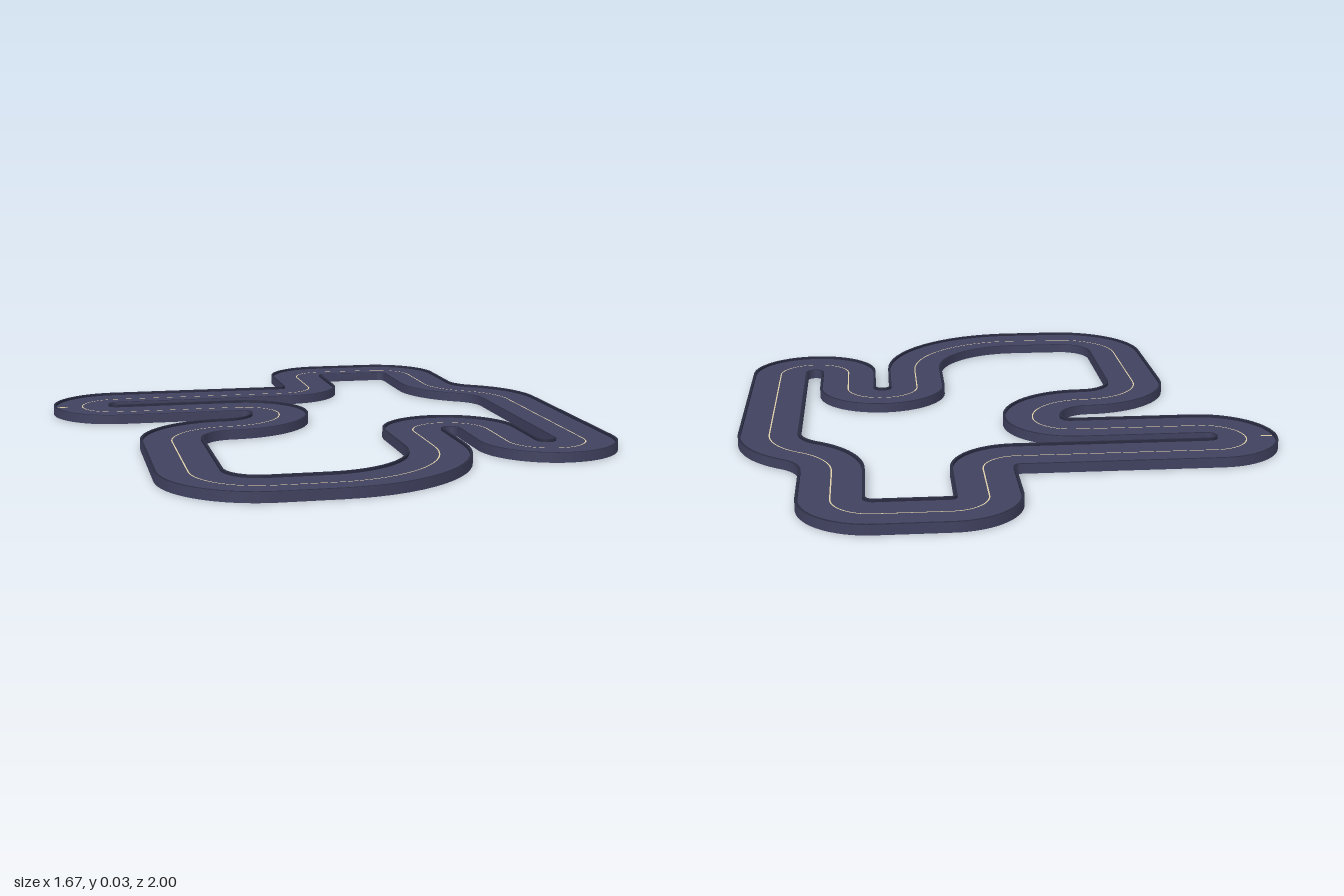
import * as THREE from 'three';
import { mergeGeometries } from 'three/addons/utils/BufferGeometryUtils.js';

const HALF = 0.0965;   // half width of the track
const TOP = 0.03;      // top of the edge walls
const ROAD = 0.022;    // road surface
const WALL = 0.008;    // wall thickness

// Corners of the circuit: x, z, bend radius
const CORNERS = [
  [0.097, -0.902, 0.11], [0.537, -0.902, 0.12],
  [0.537, -0.44, 0.215], [0.738, -0.31, 0.215],
  [0.738, 0.617, 0.12], [0.497, 0.617, 0.12],
  [0.497, 0.177, 0.119], [0.258, 0.177, 0.119],
  [0.258, 0.9, 0.385], [-0.503, 0.9, 0.2],
  [-0.503, 0.095, 0.2], [-0.103, 0.095, 0.195],
  [-0.103, -0.225, 0.12], [-0.742, -0.225, 0.12],
  [-0.742, -0.465, 0.12], [0.097, -0.465, 0.11],
];

// Centreline samples with heading: straights joined by true arcs
function centreline() {
  const pts = [], n = CORNERS.length, steps = 16;
  CORNERS.forEach(([x, z, r], i) => {
    const [px, pz] = CORNERS[(i + n - 1) % n];
    const [qx, qz] = CORNERS[(i + 1) % n];
    const h = Math.atan2(z - pz, x - px);
    const turn0 = Math.atan2(qz - z, qx - x) - h;
    const turn = Math.atan2(Math.sin(turn0), Math.cos(turn0));
    const d = r * Math.tan(Math.abs(turn) / 2), k = r * Math.sign(turn);
    const sx = x - d * Math.cos(h), sz = z - d * Math.sin(h);
    for (let j = 0; j <= steps; j++) {
      const a = h + (turn * j) / steps;
      pts.push({
        x: sx + k * (Math.sin(a) - Math.sin(h)),
        z: sz - k * (Math.cos(a) - Math.cos(h)),
        h: a,
      });
    }
  });
  return pts;
}

// Closed ribbon between two section points [offset, y]; smooth along the track
function ribbon(path, a, b) {
  const pos = [], idx = [], n = path.length;
  path.forEach((p, i) => {
    for (const [s, y] of [a, b]) pos.push(p.x - s * Math.sin(p.h), y, p.z + s * Math.cos(p.h));
    const c = 2 * i, e = 2 * ((i + 1) % n);
    idx.push(c, c + 1, e, c + 1, e + 1, e);
  });
  const g = new THREE.BufferGeometry();
  g.setAttribute('position', new THREE.Float32BufferAttribute(pos, 3));
  g.setIndex(idx);
  g.computeVertexNormals();
  return g;
}

// Sweep a section polyline, keeping its edges sharp
function sweep(path, section) {
  return mergeGeometries(section.slice(1).map((b, i) => ribbon(path, section[i], b)));
}

export function createModel() {
  const group = new THREE.Group();
  group.name = 'raceTrack';
  const path = centreline();
  const asphalt = new THREE.MeshStandardMaterial({ color: 0x40415f });
  const edge = new THREE.MeshStandardMaterial({ color: 0x2a2c42 });
  const paint = new THREE.MeshStandardMaterial({ color: 0xe0d0a8 });

  const add = (name, geometry, material) => {
    const mesh = new THREE.Mesh(geometry, material);
    mesh.name = name;
    group.add(mesh);
    return mesh;
  };

  // Road slab: right side, underside, left side, then the sunken surface
  const inner = HALF - WALL;
  add('roadBase', sweep(path, [[HALF, TOP], [HALF, 0], [-HALF, 0], [-HALF, TOP]]), asphalt);
  add('roadSurface', ribbon(path, [-inner, ROAD], [inner, ROAD]), asphalt);

  // Low walls along both edges
  add('leftWall', sweep(path, [[-HALF, TOP], [-inner, TOP], [-inner, ROAD]]), edge);
  add('rightWall', sweep(path, [[inner, ROAD], [inner, TOP], [HALF, TOP]]), edge);

  // Painted centre line and start mark
  add('centreLine', ribbon(path, [-0.002, ROAD + 0.001], [0.002, ROAD + 0.001]), paint);
  const mark = add('startMark', new THREE.BoxGeometry(0.035, 0.002, 0.005), paint);
  mark.position.set(-0.809, ROAD + 0.0005, -0.345);

  return group;
}
